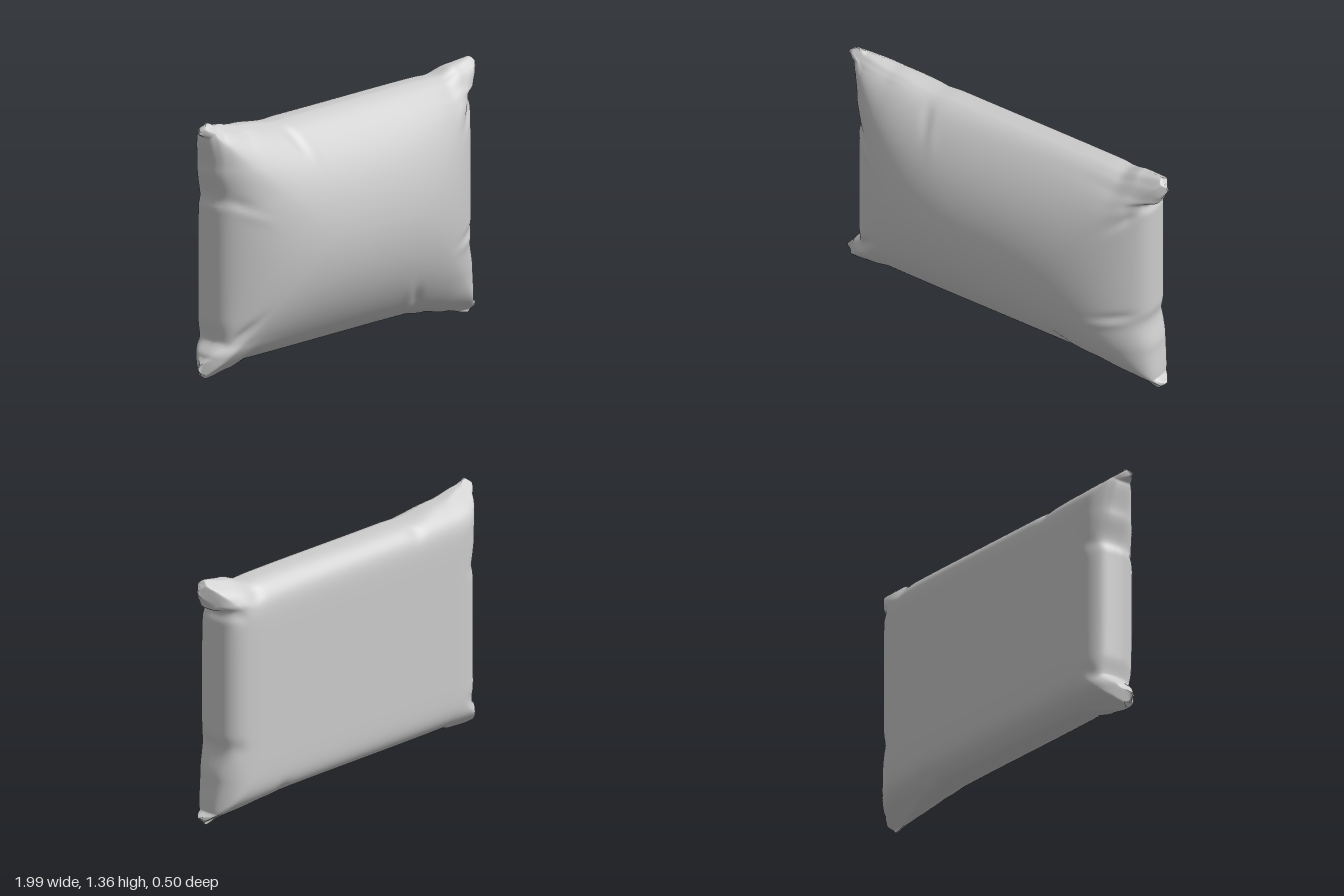
import * as THREE from 'three';

// Seam outline: offsets from a plain rectangle, [position along edge, dx, dy]
const TOP = [[-1, -.07, .045], [-.98, -.053, .07], [-.94, -.034, .045], [-.78, 0, .015], [-.5, 0, -.013], [-.4, 0, -.01],
  [.68, 0, 0], [.78, 0, -.003], [.9, .01, .035], [.98, .063, .055], [1, .07, .03]];
const BOTTOM = [[-1, -.075, -.035], [-.96, -.081, -.06], [-.85, -.035, -.035], [-.75, 0, -.005], [.5, 0, .005],
  [.65, 0, -.01], [.85, .01, -.04], [.96, .066, -.075], [1, .055, -.05]];
const LEFT_SIDE = [[-1, -.075, -.035], [-.97, -.1, -.023], [-.88, -.05, -.013], [-.79, .012, 0], [-.6, 0, 0], [.35, 0, 0],
  [.43, .012, 0], [.7, -.02, 0], [.95, -.045, .02], [.98, -.095, .032], [1, -.07, .045]];
const RIGHT_SIDE = [[-1, .055, -.05], [-.97, .08, -.043], [-.93, .037, -.043], [-.7, .02, 0], [-.43, -.012, 0],
  [-.3, 0, 0], [.7, 0, 0], [.8, -.015, -.008], [.9, .04, -.03], [.97, .09, .015], [1, .07, .03]];

const HALF_W = 0.9, HALF_H = 0.61, MID_Y = 0.69, SEAM_Z = -0.068;

// Wrinkles: [x, y, angle, length, width, depth]
const FRONT_FOLDS = [[-.42, 1.21, -1.1, .09, .03, -.012], [-.38, 1.17, -1.1, .09, .03, .006],
  [-.82, .93, -.5, .09, .03, -.012], [-.77, .88, -.5, .09, .03, .006],
  [.78, .49, .15, .1, .025, -.01], [.76, .44, .15, .1, .025, .006],
  [.4, .22, -.9, .08, .03, -.012], [.35, .25, -.9, .08, .03, .006],
  [.83, 1.12, .75, .1, .025, -.015], [.8, 1.18, .75, .12, .03, .006],
  [-.8, .25, .75, .1, .025, -.014], [-.84, .16, .75, .1, .03, .006]];
const BACK_FOLDS = [[-.45, 1.27, 1.3, .05, .04, .012], [.7, 1.27, 1.8, .05, .04, .012],
  [.87, .43, .1, .05, .04, .012], [.86, 1.17, .3, .06, .035, .012],
  [-.87, .94, .1, .05, .04, .012], [-.86, .22, .3, .06, .035, .012], [.52, .11, 1.6, .05, .04, .012]];

function edgeOffset(table, s) {
  let i = 0;
  while (i < table.length - 2 && s > table[i + 1][0]) i++;
  const [a, b] = [table[i], table[i + 1]];
  const k = THREE.MathUtils.smoothstep(s, a[0], b[0]);
  return [a[1] + (b[1] - a[1]) * k, a[2] + (b[2] - a[2]) * k];
}

// Rectangle point pulled towards the seam outline, fading quickly inwards
function outlinePoint(u, v) {
  const w = s => Math.pow((1 + s) / 2, 10);
  const l = w(-u), r = w(u), b = w(-v), t = w(v);
  const L = edgeOffset(LEFT_SIDE, v), R = edgeOffset(RIGHT_SIDE, v);
  const B = edgeOffset(BOTTOM, u), T = edgeOffset(TOP, u);
  const d = [0, 1].map(i => l * L[i] + r * R[i] + b * B[i] + t * T[i]
    - l * b * BOTTOM[0][i + 1] - l * t * TOP[0][i + 1]
    - r * b * BOTTOM.at(-1)[i + 1] - r * t * TOP.at(-1)[i + 1]);
  return [HALF_W * u + d[0], MID_Y + HALF_H * v + d[1]];
}

function foldDepth(folds, x, y) {
  let sum = 0;
  for (const [fx, fy, angle, length, width, depth] of folds) {
    const c = Math.cos(angle), s = Math.sin(angle);
    const p = ((x - fx) * c + (y - fy) * s) / length;
    const q = ((y - fy) * c - (x - fx) * s) / width;
    sum += depth * Math.exp(-p * p - q * q);
  }
  return sum;
}

const bulge = (t, power, round) => Math.pow(Math.max(1e-9, 1 - Math.pow(Math.abs(t), power)), round);

// Smooth minimum of two positive heights
const softMin = (a, b) => Math.pow(Math.pow(a, -5) + Math.pow(b, -5), -0.2);

// Thickness of the front dome, full towards the corners
function frontHeight(u, v) {
  const a = bulge(u, 3, 0.55), b = bulge(v, 2, 0.65);
  return 0.317 / Math.sqrt(1 / (a * a) + 1 / (b * b) - 1);
}

// Thickness of the flat back with rounded rims
const backHeight = (u, v) => 0.18 * bulge(u, 20, 0.4) * bulge(v, 14, 0.4);

// One cloth panel; grid rows gather towards the seam
function panel(name, front) {
  const nx = 128, ny = 104, pos = [], index = [];
  for (let j = 0; j <= ny; j++) {
    for (let i = 0; i <= nx; i++) {
      const u = Math.sin(Math.PI * (i / nx - 0.5)), v = Math.sin(Math.PI * (j / ny - 0.5));
      const [x, y] = outlinePoint(u, v);
      // the cloth tapers to thin ears at the four tips
      const tip = Math.max(0.003, Math.min(0.985 - Math.abs(x), 0.672 - Math.abs(y - MID_Y)));
      const h = front ? softMin(frontHeight(u, v), 1.1 * tip) : -softMin(backHeight(u, v), 1.45 * tip);
      const edge = Math.min(1, 12 * Math.min(1 - Math.abs(u), 1 - Math.abs(v)));
      const onSeam = i === 0 || j === 0 || i === nx || j === ny;
      pos.push(x, y, SEAM_Z + (onSeam ? 0 : h + edge * foldDepth(front ? FRONT_FOLDS : BACK_FOLDS, x, y)));
      if (i < nx && j < ny) {
        const a = j * (nx + 1) + i, b = a + 1, c = a + nx + 1, d = c + 1;
        if (front) index.push(a, b, d, a, d, c);
        else index.push(a, d, b, a, c, d);
      }
    }
  }
  const geometry = new THREE.BufferGeometry();
  geometry.setAttribute('position', new THREE.Float32BufferAttribute(pos, 3));
  geometry.setIndex(index);
  geometry.computeVertexNormals();
  const mesh = new THREE.Mesh(geometry,
    new THREE.MeshStandardMaterial({ color: 0xcccccc, side: THREE.DoubleSide }));
  mesh.name = name;
  return mesh;
}

export function createModel() {
  const group = new THREE.Group();
  group.name = 'pillow';
  group.add(panel('frontPanel', true), panel('backPanel', false));
  return group;
}
